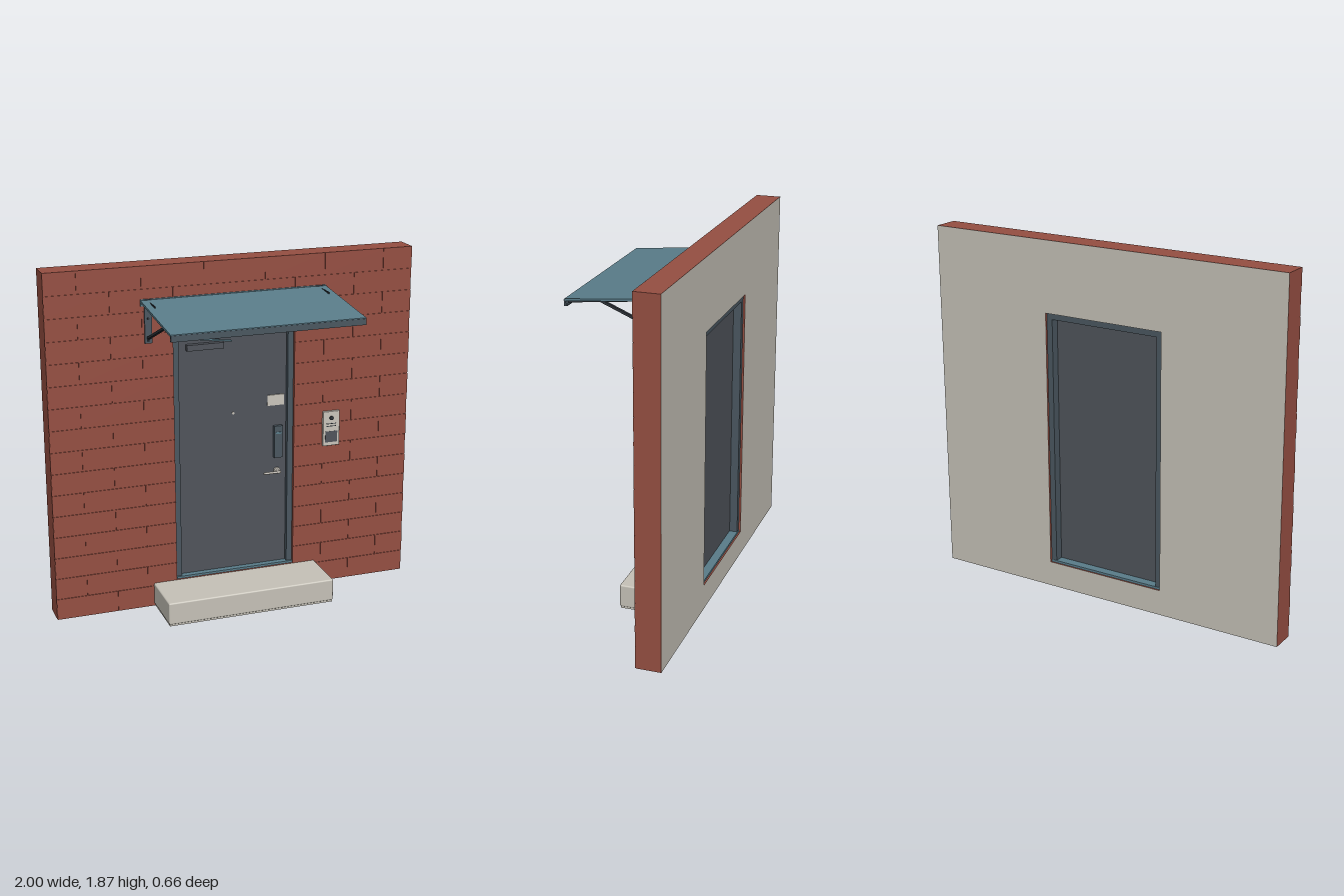
import * as THREE from 'three';
import { RoundedBoxGeometry } from 'three/addons/geometries/RoundedBoxGeometry.js';
import { mergeGeometries } from 'three/addons/utils/BufferGeometryUtils.js';

const mat = (name, color, side = THREE.FrontSide) => {
  const m = new THREE.MeshStandardMaterial({ color, side });
  m.name = name;
  return m;
};

export function createModel() {
  const brick = mat('brick red', 0x964f42);
  const plaster = mat('warm plaster', 0xc6c2b8);
  const doorGrey = mat('door grey', 0x50545b);
  const frameGrey = mat('frame blue grey', 0x4a5760);
  const teal = mat('teal metal', 0x5a7d8a);
  const dark = mat('dark steel', 0x2c3238);
  const light = mat('light metal', 0xcbc6bd);

  const model = new THREE.Group();
  model.name = 'entrance';
  const add = (parent, name, geo, material, x = 0, y = 0, z = 0) => {
    const m = new THREE.Mesh(geo, material);
    m.name = name;
    m.position.set(x, y, z);
    parent.add(m);
    return m;
  };
  const group = (name) => {
    const g = new THREE.Group();
    g.name = name;
    model.add(g);
    return g;
  };
  // box given by its limits on each axis
  const box = (parent, name, material, [x0, x1], [y0, y1], [z0, z1]) =>
    add(parent, name, new THREE.BoxGeometry(x1 - x0, y1 - y0, z1 - z0), material,
      (x0 + x1) / 2, (y0 + y1) / 2, (z0 + z1) / 2);
  // bar between two points of a plane at constant x, given as [z, y]
  const bar = (parent, name, material, x, [za, ya], [zb, yb], w, t) => {
    const m = add(parent, name, new THREE.BoxGeometry(w, t, Math.hypot(zb - za, yb - ya)), material,
      x, (ya + yb) / 2, (za + zb) / 2);
    m.rotation.x = -Math.atan2(yb - ya, zb - za);
    return m;
  };
  const disc = (parent, name, material, r, depth, x, y, z) => {
    const m = add(parent, name, new THREE.CylinderGeometry(r, r, depth, 24), material, x, y, z);
    m.rotation.x = Math.PI / 2;
    return m;
  };
  const rectPath = (target, x0, x1, y0, y1) => {
    target.moveTo(x0, y0); target.lineTo(x1, y0);
    target.lineTo(x1, y1); target.lineTo(x0, y1);
    target.closePath();
    return target;
  };

  // wall with door opening
  const W = 1, H = 1.87, OX = 0.335, OY0 = 0.135, OY1 = 1.497;
  const wall = group('wall');
  const wallShape = rectPath(new THREE.Shape(), -W, W, 0, H);
  wallShape.holes.push(rectPath(new THREE.Path(), -OX, OX, OY0, OY1));
  add(wall, 'wallCore', new THREE.ExtrudeGeometry(wallShape, { depth: 0.128, bevelEnabled: false }), brick, 0, 0, -0.332);
  const back = add(wall, 'backPlaster', new THREE.ShapeGeometry(wallShape), plaster, 0, 0, -0.333);
  back.rotation.y = Math.PI;

  // running bond of thin brick faces, cut around the opening
  const rows = 16, rowH = H / rows, len = 1 / 3, gap = 0.0015;
  const faces = [];
  const brickFace = (x0, x1, y0, y1) => {
    if (x1 - x0 < 0.004 || y1 - y0 < 0.004) return;
    const g = new THREE.BoxGeometry(x1 - x0, y1 - y0, 0.004);
    g.translate((x0 + x1) / 2, (y0 + y1) / 2, -0.202);
    faces.push(g);
  };
  for (let r = 0; r < rows; r++) {
    const y0 = r * rowH + (r ? gap : 0), y1 = (r + 1) * rowH - (r < rows - 1 ? gap : 0);
    for (let i = 0; i < 7; i++) {
      const start = -W + (i - (r % 2) / 2) * len;
      const x0 = Math.max(-W, start + gap), x1 = Math.min(W, start + len - gap);
      if (x1 <= x0) continue;
      if (x1 <= -OX || x0 >= OX || y1 <= OY0 || y0 >= OY1) {
        brickFace(x0, x1, y0, y1);
        continue;
      }
      brickFace(x0, Math.min(x1, -OX), y0, y1);
      brickFace(Math.max(x0, OX), x1, y0, y1);
      const cx0 = Math.max(x0, -OX), cx1 = Math.min(x1, OX);
      brickFace(cx0, cx1, y0, OY0);
      brickFace(cx0, cx1, OY1, y1);
    }
  }
  add(wall, 'bricks', mergeGeometries(faces), brick);

  // step
  const step = group('step');
  add(step, 'stepBlock', new RoundedBoxGeometry(0.93, 0.122, 0.295, 2, 0.008), plaster, 0, 0.071, -0.0675);
  box(step, 'stepBase', plaster, [-0.46, 0.46], [0, 0.03], [-0.21, 0.075]);

  // frame, threshold and leaf
  const door = group('door');
  const frameShape = rectPath(new THREE.Shape(), -OX + 0.001, OX - 0.001, OY0, OY1 - 0.001);
  frameShape.holes.push(rectPath(new THREE.Path(), -0.303, 0.303, OY0 + 0.002, 1.465));
  add(door, 'doorFrame', new THREE.ExtrudeGeometry(frameShape, { depth: 0.107, bevelEnabled: false }), frameGrey, 0, 0, -0.322);
  box(door, 'threshold', teal, [-0.333, 0.333], [OY0, 0.147], [-0.324, -0.205]);
  const Z = -0.235;
  box(door, 'doorLeaf', doorGrey, [-0.301, 0.301], [0.149, 1.462], [-0.28, Z]);

  // closer
  box(door, 'closerBody', doorGrey, [-0.258, -0.057], [1.403, 1.435], [Z, Z + 0.028]);
  const arm = box(door, 'closerArm', teal, [-0.19, -0.01], [1.444, 1.452], [Z + 0.012, Z + 0.018]);
  arm.rotation.z = -0.13;

  // door fittings
  disc(door, 'peephole', light, 0.007, 0.008, 0, 1.035, Z + 0.003);
  box(door, 'doorPlate', light, [0.194, 0.286], [1.055, 1.114], [Z, Z + 0.007]);
  box(door, 'lockBody', frameGrey, [0.229, 0.277], [0.76, 0.94], [Z, Z + 0.02]);
  box(door, 'lockStrip', teal, [0.237, 0.267], [0.896, 0.907], [Z + 0.02, Z + 0.023]);
  disc(door, 'leverRose', light, 0.018, 0.01, 0.25, 0.682, Z + 0.005);
  disc(door, 'leverNeck', light, 0.009, 0.03, 0.25, 0.682, Z + 0.02);
  add(door, 'lever', new RoundedBoxGeometry(0.1, 0.013, 0.011, 2, 0.005), light, 0.213, 0.682, Z + 0.034);

  // wall lamp
  const lamp = group('lamp');
  box(lamp, 'lampBase', frameGrey, [-0.074, 0.074], [1.52, 1.606], [-0.2, -0.192]);
  add(lamp, 'lampCover', new RoundedBoxGeometry(0.136, 0.074, 0.045, 2, 0.005), plaster, 0, 1.563, -0.171);

  // intercom
  const intercom = group('intercom');
  add(intercom, 'intercomCase', new RoundedBoxGeometry(0.096, 0.196, 0.018, 2, 0.003), light, 0.547, 0.903, -0.193);
  disc(intercom, 'intercomEye', dark, 0.011, 0.01, 0.546, 0.964, -0.181);
  for (const y of [0.931, 0.917])
    box(intercom, 'speakerSlot', dark, [0.518, 0.574], [y - 0.002, y + 0.002], [-0.186, -0.183]);
  box(intercom, 'intercomPanel', doorGrey, [0.512, 0.582], [0.826, 0.888], [-0.186, -0.183]);

  // sloping canopy with front gutter
  const canopy = group('canopy');
  bar(canopy, 'canopyRoof', teal, 0, [-0.2, 1.69], [0.329, 1.64], 1.01, 0.012);
  box(canopy, 'canopyWallRail', teal, [-0.505, 0.505], [1.665, 1.7], [-0.2, -0.194]);
  box(canopy, 'canopyLip', frameGrey, [-0.505, 0.505], [1.61, 1.642], [0.322, 0.332]);
  box(canopy, 'gutterFloor', frameGrey, [-0.505, 0.505], [1.61, 1.616], [0.314, 0.324]);

  // mirrored brackets
  for (const s of [-1, 1]) {
    const x = s * 0.467;
    box(canopy, 'bracketPlate', frameGrey, [x - 0.019, x + 0.019], [1.47, 1.7], [-0.2, -0.191]);
    bar(canopy, 'bracketArm', dark, x, [-0.195, 1.684], [0.32, 1.628], 0.016, 0.016);
    bar(canopy, 'bracketStrut', dark, x, [-0.195, 1.497], [0.17, 1.65], 0.016, 0.013);
    box(canopy, 'bracketTopRib', dark, [x - 0.003, x + 0.003], [1.675, 1.692], [-0.2, -0.06]);
    for (const y of [1.485, 1.6])
      disc(canopy, 'bracketBolt', dark, 0.006, 0.006, x, y, -0.189);
  }
  return model;
}
